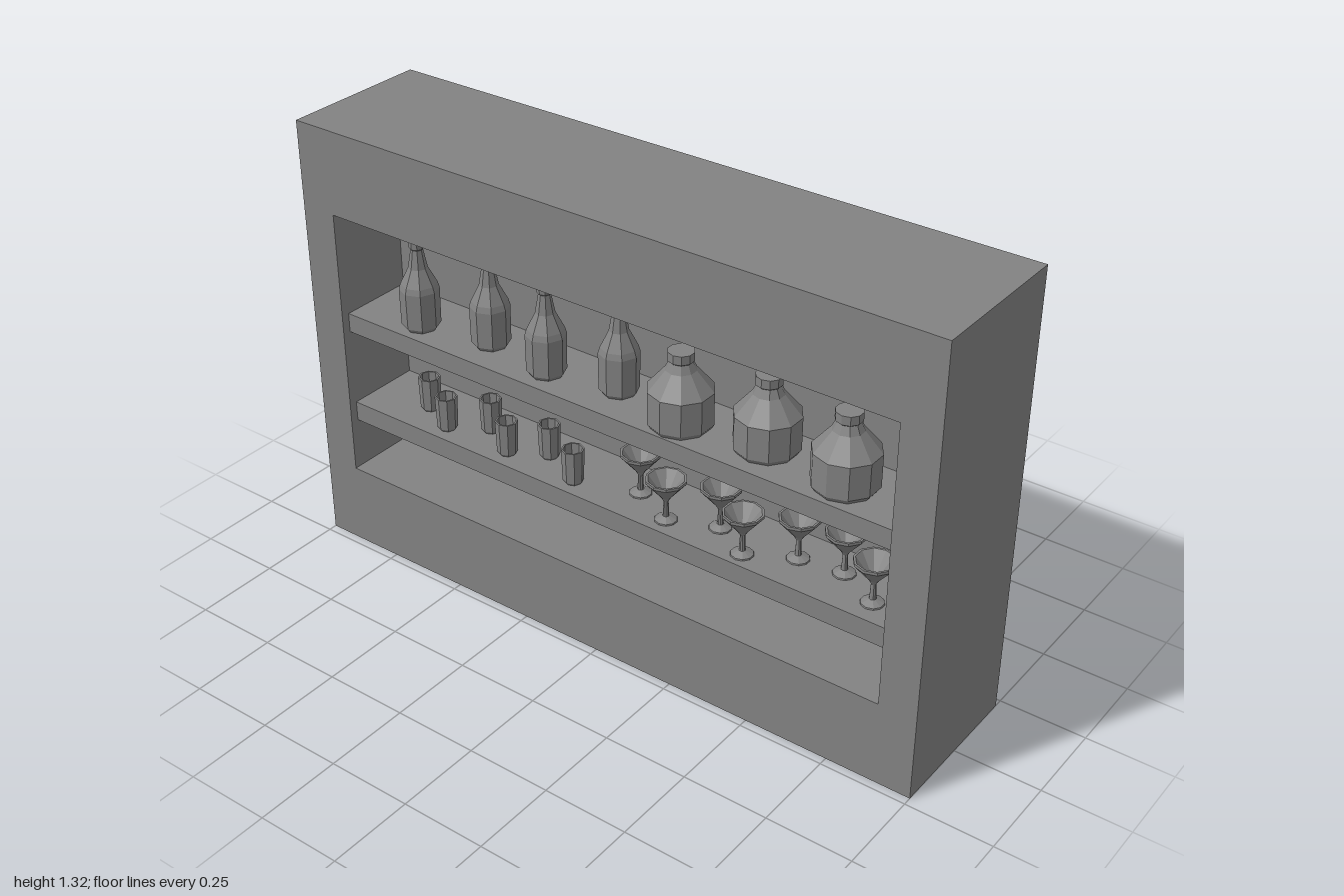
import * as THREE from 'three';

const material = new THREE.MeshStandardMaterial({ color: 0x828282, flatShading: true, side: THREE.DoubleSide });
const W = 1, H = 1.32, D = 0.225;                          // half width, height, half depth
const OPEN = { x: 0.89, bottom: 0.25, top: 1.07, back: -0.025 };
const SHELF_FRONT = 0.2;
const UPPER = { top: 0.755, bottom: 0.697 }, LOWER = { top: 0.465, bottom: 0.405 };

function mesh(name, geometry) {
  const m = new THREE.Mesh(geometry, material);
  m.name = name;
  return m;
}

// Sheet swept along x between -half and half, following a [z, y] path
function sweptSheet(name, half, path) {
  const pos = [], index = [];
  path.forEach(([z, y], i) => {
    pos.push(-half, y, z, half, y, z);
    if (i) {
      const a = 2 * (i - 1);
      index.push(a, a + 2, a + 1, a + 1, a + 2, a + 3);
    }
  });
  const g = new THREE.BufferGeometry();
  g.setAttribute('position', new THREE.Float32BufferAttribute(pos, 3));
  g.setIndex(index);
  const flat = g.toNonIndexed();
  flat.computeVertexNormals();
  return mesh(name, flat);
}

// Upright panel facing +x (dir = 1) or -x (dir = -1)
function sidePanel(name, x, y0, y1, z0, z1, dir) {
  const m = mesh(name, new THREE.PlaneGeometry(z1 - z0, y1 - y0));
  m.rotation.y = dir * Math.PI / 2;
  m.position.set(x, (y0 + y1) / 2, (z0 + z1) / 2);
  return m;
}

function lathe(profile, sides) {
  return new THREE.LatheGeometry(profile.map(([r, y]) => new THREE.Vector2(r, y)), sides);
}

function row(name, geometry, y, spots) {
  const group = new THREE.Group();
  group.name = name + 's';
  spots.forEach(([x, z]) => {
    const m = mesh(name, geometry);
    m.position.set(x, y, z);
    group.add(m);
  });
  return group;
}

export function createModel() {
  const model = new THREE.Group();
  model.name = 'barShelf';

  // Front panel with its display opening
  const front = new THREE.Shape([[-W, 0], [W, 0], [W, H], [-W, H]].map(p => new THREE.Vector2(...p)));
  const { x, bottom, top, back } = OPEN;
  front.holes.push(new THREE.Path([[-x, bottom], [-x, top], [x, top], [x, bottom]].map(p => new THREE.Vector2(...p))));
  const panel = mesh('frontPanel', new THREE.ShapeGeometry(front));
  panel.position.z = D;
  model.add(panel);

  // Cabinet shell, open at the back
  model.add(sweptSheet('topPanel', W, [[-D, H], [D, H]]));
  model.add(sweptSheet('bottomPanel', W, [[D, 0], [-D, 0]]));
  for (const s of [-1, 1]) {
    model.add(sidePanel(s > 0 ? 'leftSide' : 'rightSide', s * W, 0, H, -D, D, s));
    model.add(sidePanel(s > 0 ? 'leftNicheWall' : 'rightNicheWall', s * x, bottom, top, back, D, -s));
  }

  // Niche lining: ceiling, back wall folded out into two hollow shelves, floor
  const path = [[D, top], [back, top]];
  for (const shelf of [UPPER, LOWER]) {
    path.push([back, shelf.top], [SHELF_FRONT, shelf.top], [SHELF_FRONT, shelf.bottom], [back, shelf.bottom]);
  }
  path.push([back, bottom], [D, bottom]);
  model.add(sweptSheet('nicheAndShelves', x, path));

  // Closed bottles on the upper shelf
  const tall = lathe([[0, 0], [0.046, 0], [0.055, 0.012], [0.056, 0.12], [0.051, 0.137], [0.027, 0.185],
    [0.017, 0.24], [0.021, 0.244], [0.021, 0.277], [0, 0.277]], 8);
  model.add(row('tallBottle', tall, UPPER.top, [[-0.677, 0.13], [-0.457, 0.09], [-0.237, 0.12], [-0.024, 0.08]]));
  const squat = lathe([[0, 0], [0.08, 0], [0.09, 0.014], [0.09, 0.108], [0.042, 0.165],
    [0.031, 0.188], [0.036, 0.192], [0.036, 0.217], [0, 0.217]], 10);
  model.add(row('squatBottle', squat, UPPER.top, [[0.2, 0.115], [0.442, 0.08], [0.688, 0.105]]));

  // Glasses on the lower shelf
  const tumbler = lathe([[0, 0], [0.023, 0], [0.029, 0.008], [0.032, 0.105], [0.027, 0.105], [0.023, 0.012], [0, 0.012]], 8);
  model.add(row('tumbler', tumbler, LOWER.top, [[-0.695, 0.095], [-0.585, 0.147], [-0.478, 0.082],
    [-0.366, 0.145], [-0.262, 0.088], [-0.131, 0.148]]));
  const cocktail = lathe([[0, 0], [0.032, 0], [0.031, 0.004], [0.009, 0.014], [0.007, 0.06], [0.014, 0.072],
    [0.056, 0.122], [0.056, 0.13], [0.05, 0.13], [0.012, 0.08], [0, 0.076]], 10);
  model.add(row('cocktailGlass', cocktail, LOWER.top, [[0.048, 0.083], [0.177, 0.144], [0.313, 0.089],
    [0.425, 0.152], [0.551, 0.083], [0.679, 0.066], [0.8, 0.129]]));

  return model;
}
